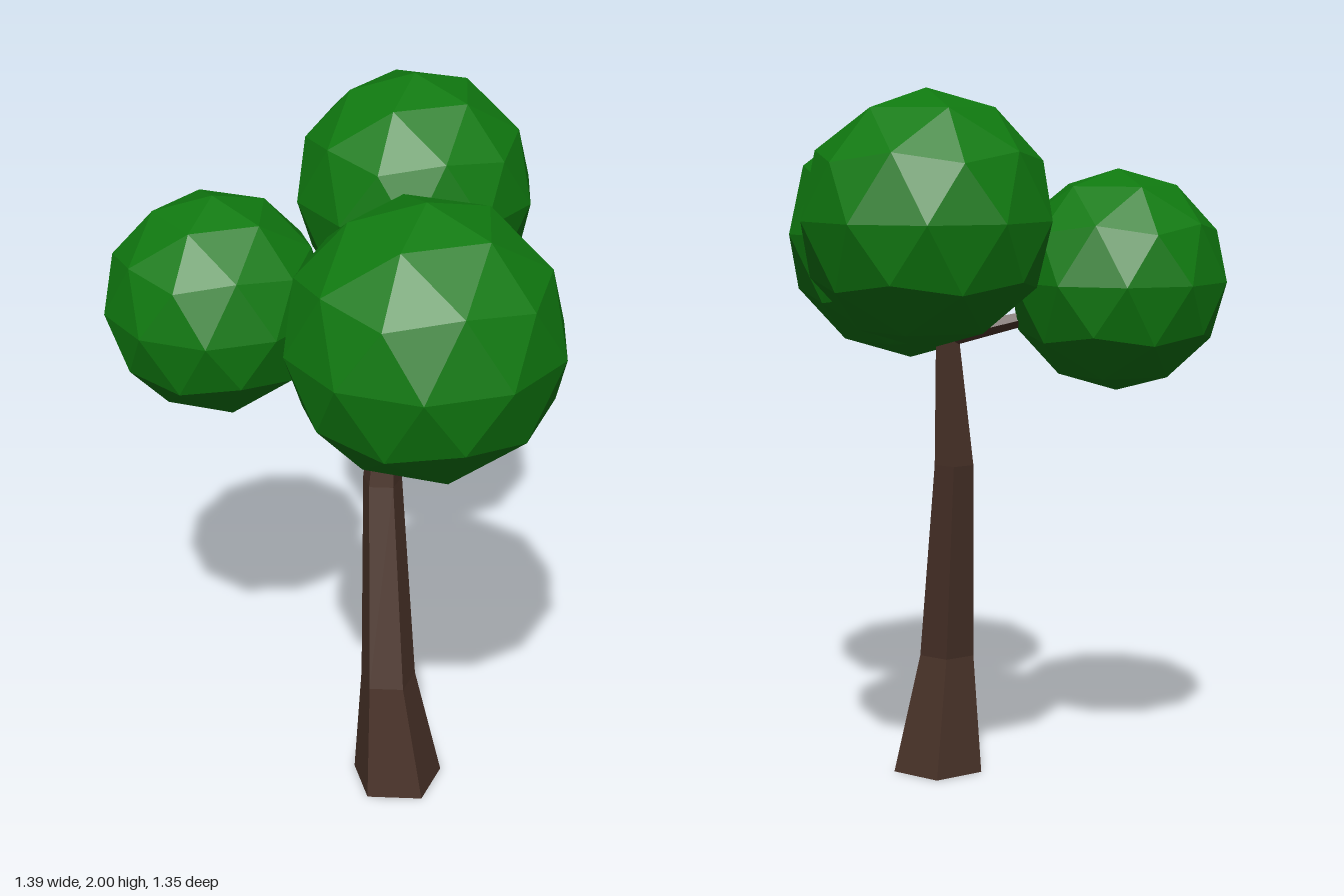
import * as THREE from 'three';

const bark = new THREE.MeshStandardMaterial({ color: 0x4a3329, flatShading: true });
const leaf = new THREE.MeshStandardMaterial({ color: 0x107a10, flatShading: true });

// Five-sided leaning trunk: each ring of a cylinder is moved to its own centre and radius
function makeTrunk() {
  const rings = [ // x, y, z, radius, from the ground up
    [0.113, 0.005, 0.13, 0.135],
    [0.088, 0.355, 0.14, 0.082],
    [-0.003, 0.94, 0.046, 0.058],
    [-0.01, 1.31, 0.003, 0.034],
  ];
  const n = rings.length - 1;
  const geo = new THREE.CylinderGeometry(1, 1, n, 5, n, false, THREE.MathUtils.degToRad(70));
  const p = geo.attributes.position;
  for (let i = 0; i < p.count; i++) {
    const [x, y, z, r] = rings[Math.round(p.getY(i) + n / 2)];
    p.setXYZ(i, x + p.getX(i) * r, y, z + p.getZ(i) * r);
  }
  geo.computeVertexNormals();
  const mesh = new THREE.Mesh(geo, bark);
  mesh.name = 'trunk';
  return mesh;
}

// Tapered five-sided branch between two points
function makeBranch(name, from, to, r0, r1) {
  const a = new THREE.Vector3(...from), b = new THREE.Vector3(...to);
  const dir = b.clone().sub(a);
  const mesh = new THREE.Mesh(new THREE.CylinderGeometry(r1, r0, dir.length(), 5), bark);
  mesh.position.copy(a).add(b).multiplyScalar(0.5);
  mesh.quaternion.setFromUnitVectors(new THREE.Vector3(0, 1, 0), dir.normalize());
  mesh.name = name;
  return mesh;
}

// Faceted ball of leaves with a corner at its top and bottom
function makeCrown(name, centre, radius) {
  const geo = new THREE.IcosahedronGeometry(radius, 1);
  geo.rotateZ(-Math.atan(2 / (1 + Math.sqrt(5))));
  const mesh = new THREE.Mesh(geo, leaf);
  mesh.position.set(...centre);
  mesh.name = name;
  return mesh;
}

export function createModel() {
  const tree = new THREE.Group();
  tree.name = 'tree';
  tree.add(makeTrunk());

  const fork = [-0.01, 1.31, 0];
  const limbs = [ // side, branch end, base and tip radius, crown centre, crown radius
    ['left', [0.16, 1.39, 0.125], 0.034, 0.028, [0.333, 1.58, 0.298], 0.375],
    ['right', [-0.22, 1.37, 0.135], 0.03, 0.02, [-0.401, 1.47, 0.275], 0.311],
    ['back', [-0.08, 1.46, -0.14], 0.032, 0.02, [-0.18, 1.657, -0.336], 0.344],
  ];
  for (const [side, end, r0, r1, centre, radius] of limbs) {
    tree.add(makeBranch(side + 'Branch', fork, end, r0, r1));
    tree.add(makeCrown(side + 'Crown', centre, radius));
  }
  return tree;
}
